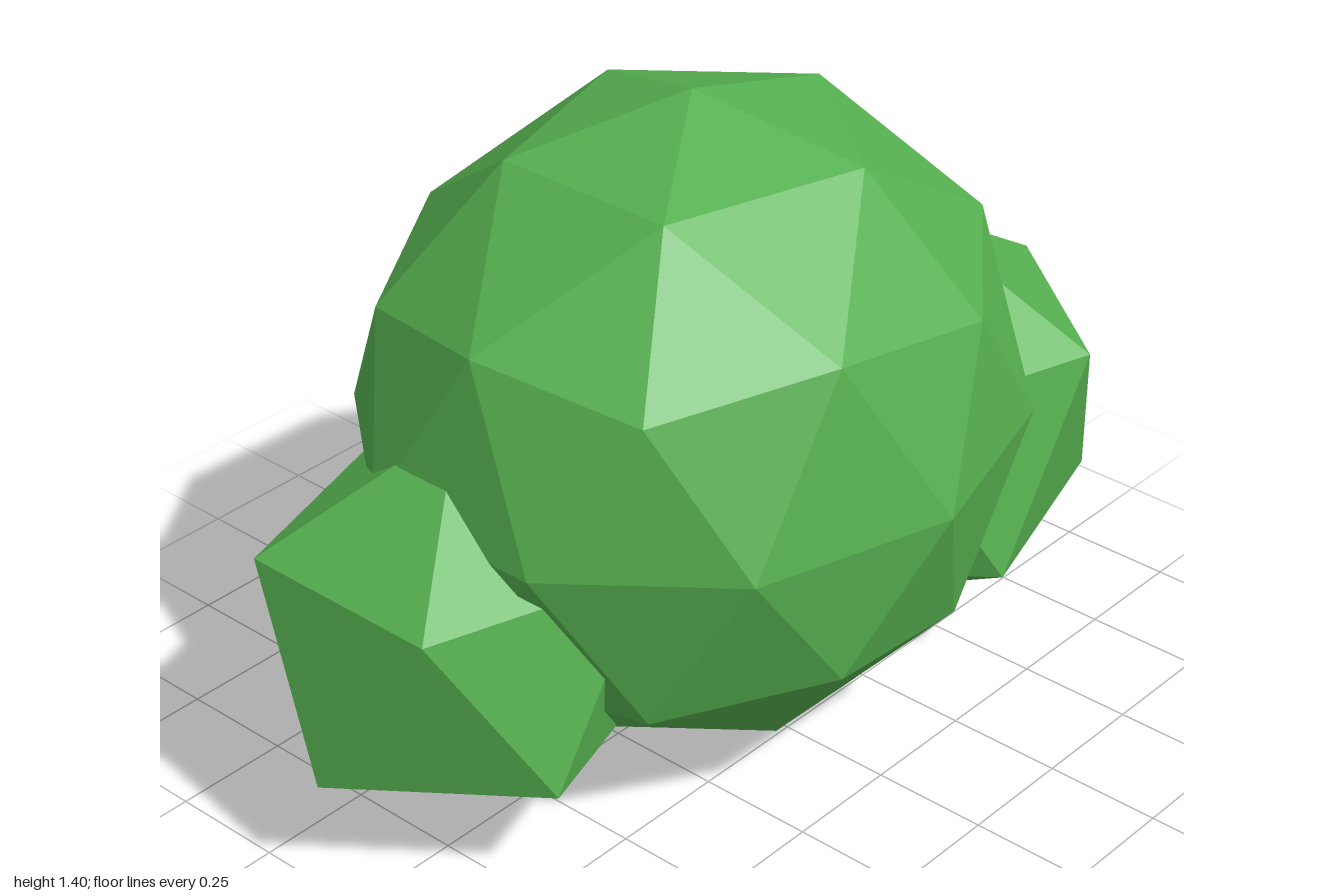
import * as THREE from 'three';

// Faceted ball with poles on the y axis, based on an icosahedron
function facetedBall(detail, rx, ry, rz) {
  const vertices = [0, 1, 0];
  const h = 1 / Math.sqrt(5), r = 2 * h;
  // upper ring, then lower ring turned by half a step
  for (const [y, turn] of [[h, 0], [-h, Math.PI / 5]]) {
    for (let k = 0; k < 5; k++) {
      const a = turn + (k * 2 * Math.PI) / 5;
      vertices.push(r * Math.cos(a), y, -r * Math.sin(a));
    }
  }
  vertices.push(0, -1, 0);

  const faces = [];
  for (let k = 0; k < 5; k++) {
    const n = (k + 1) % 5;
    const u0 = 1 + k, u1 = 1 + n, l0 = 6 + k, l1 = 6 + n;
    faces.push(0, u0, u1, u0, l0, u1, l0, l1, u1, 11, l1, l0);
  }
  const geometry = new THREE.PolyhedronGeometry(vertices, faces, 1, detail);
  geometry.scale(rx, ry, rz);
  geometry.computeVertexNormals();
  return geometry;
}

export function createModel() {
  const model = new THREE.Group();
  model.name = 'bush';

  const leafGreen = new THREE.MeshStandardMaterial({ color: 0x56b050, flatShading: true });
  leafGreen.name = 'leafGreen';

  // Large middle clump and one smaller clump on each side
  const clumps = [
    { name: 'mainFoliage', detail: 1, radii: [0.732, 0.699, 0.664], at: [-0.016, 0.701, 0] },
    { name: 'leftFoliage', detail: 0, radii: [0.488, 0.472, 0.456], at: [0.562, 0.474, 0.087] },
    { name: 'rightFoliage', detail: 0, radii: [0.454, 0.433, 0.435], at: [-0.594, 0.438, -0.089] },
  ];
  for (const { name, detail, radii, at } of clumps) {
    const mesh = new THREE.Mesh(facetedBall(detail, ...radii), leafGreen);
    mesh.name = name;
    mesh.position.set(...at);
    model.add(mesh);
  }
  return model;
}
